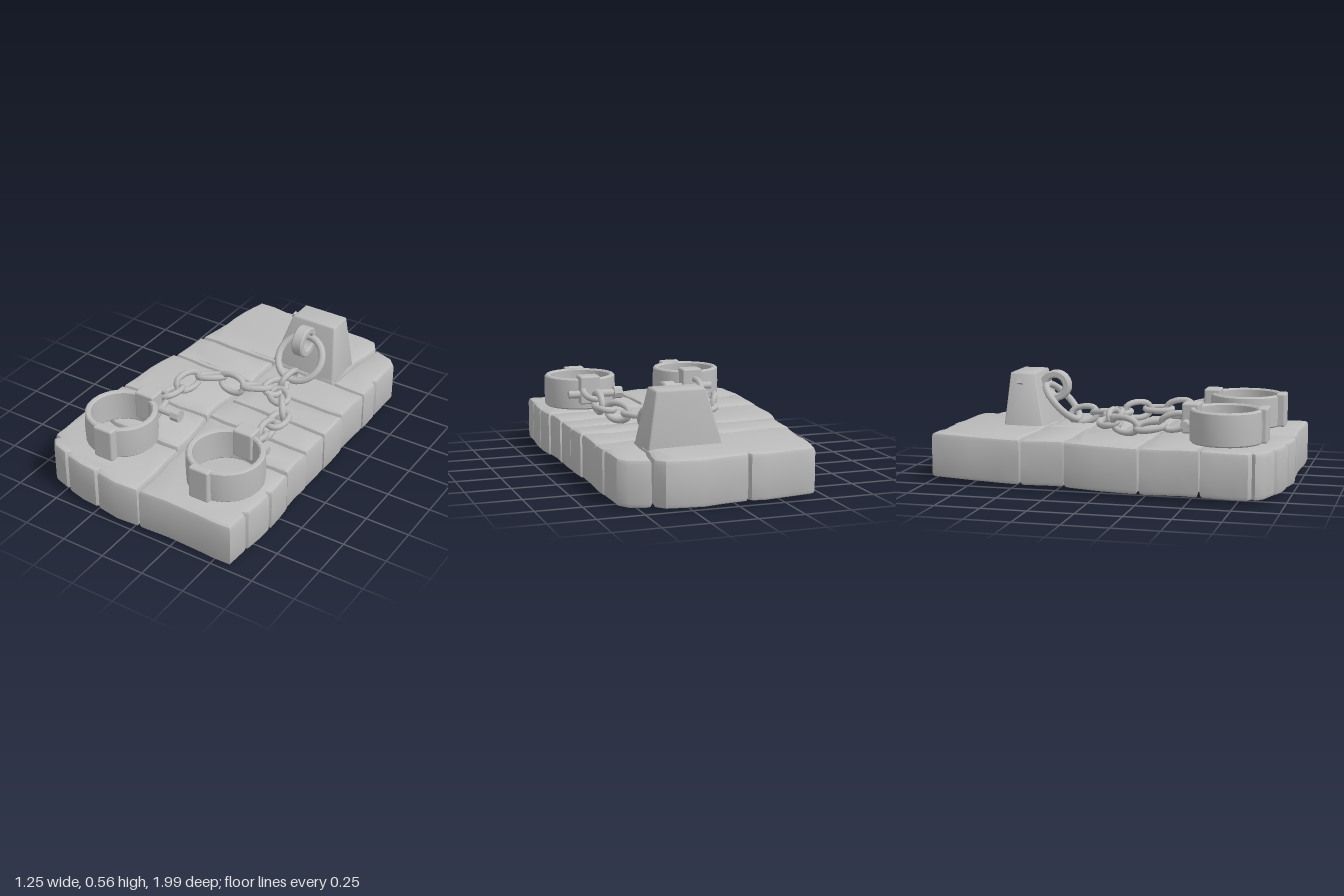
import * as THREE from 'three';
import { toCreasedNormals } from 'three/addons/utils/BufferGeometryUtils.js';
import { RoundedBoxGeometry } from 'three/addons/geometries/RoundedBoxGeometry.js';

const grey = new THREE.MeshStandardMaterial({ color: 0xbcbcbc });
grey.name = 'greyStone';

function add(parent, name, geometry, x = 0, y = 0, z = 0) {
  const mesh = new THREE.Mesh(geometry, grey);
  mesh.name = name;
  mesh.position.set(x, y, z);
  parent.add(mesh);
  return mesh;
}

// Worn paving stone: plan outline as [x, z] corners, edges split and wobbled
function stone(outline) {
  const pts = [];
  outline.forEach(([x, z], i) => {
    const [nx, nz] = outline[(i + 1) % outline.length];
    const n = Math.max(1, Math.round(Math.hypot(nx - x, nz - z) / 0.1));
    for (let k = 0; k < n; k++) {
      const px = x + (nx - x) * k / n, pz = z + (nz - z) * k / n;
      const w = k ? 0.004 : 0;
      pts.push(new THREE.Vector2(px + w * Math.sin(pz * 41 + px * 7), -pz + w * Math.sin(px * 37 + pz * 5)));
    }
  });
  const g = new THREE.ExtrudeGeometry(new THREE.Shape(pts), {
    depth: 0.206, steps: 2, bevelThickness: 0.022, bevelSize: 0.02, bevelOffset: -0.02, bevelSegments: 2,
  });
  g.rotateX(-Math.PI / 2);
  g.translate(0, 0.038, 0);
  const p = g.attributes.position;
  for (let i = 0; i < p.count; i++) {
    const x = p.getX(i), z = p.getZ(i);
    p.setY(i, p.getY(i) - 0.018 * x + 0.003 * Math.sin(x * 17 + z * 11));
  }
  return toCreasedNormals(g, 0.6);
}

function box(x0, x1, z0, z1) {
  return [[x0, z0], [x1, z0], [x1, z1], [x0, z1]];
}

function createBase() {
  const base = new THREE.Group();
  base.name = 'pavedBase';
  const outlines = {
    // back stones
    backStone: [[-0.42, -0.985], [-0.07, -0.99], [-0.06, -0.965], [-0.045, -0.995], [0.3, -0.99], [0.385, -0.975],
      [0.425, -0.91], [0.39, -0.72], [0.385, -0.455], [-0.505, -0.455], [-0.485, -0.58], [-0.455, -0.83]],
    backCornerStone: [[0.435, -0.905], [0.55, -0.87], [0.592, -0.82], [0.592, -0.61], [0.57, -0.595], [0.595, -0.58],
      [0.595, -0.45], [0.395, -0.45], [0.4, -0.72]],
    // left column
    leftStone1: [[-0.515, -0.44], [-0.01, -0.44], [-0.005, -0.2], [-0.525, -0.2]],
    leftStone2: [[-0.54, -0.19], [-0.01, -0.19], [-0.04, 0.1], [-0.03, 0.225], [-0.598, 0.225], [-0.58, 0.0]],
    leftStone3: [[-0.602, 0.237], [-0.03, 0.237], [0.0, 0.45], [0.0, 0.555], [-0.42, 0.55], [-0.47, 0.53], [-0.62, 0.555]],
    leftFrontStone: [[-0.622, 0.565], [-0.47, 0.545], [-0.4, 0.57], [0.01, 0.57], [0.03, 0.8], [0.03, 0.975], [-0.1, 0.99],
      [-0.225, 0.972], [-0.235, 0.945], [-0.25, 0.968], [-0.445, 0.94], [-0.455, 0.91], [-0.475, 0.93], [-0.57, 0.9],
      [-0.61, 0.85], [-0.59, 0.83], [-0.625, 0.815]],
    // right column
    rightStone1: box(0.005, 0.592, -0.44, -0.195),
    rightStone2: box(0.0, 0.6, -0.183, 0.01),
    rightStone3: box(-0.025, 0.598, 0.022, 0.207),
    rightStone4: [[-0.02, 0.219], [0.605, 0.219], [0.608, 0.42], [0.01, 0.425]],
    rightFrontStone: [[0.02, 0.438], [0.615, 0.435], [0.622, 0.6], [0.595, 0.612], [0.62, 0.625], [0.612, 0.81],
      [0.585, 0.822], [0.608, 0.835], [0.602, 0.972], [0.3, 0.968], [0.042, 0.975], [0.04, 0.8]],
  };
  for (const name in outlines) add(base, name, stone(outlines[name]));
  return base;
}

// Tapered block with the staple and hanging ring
function createAnchor() {
  const anchor = new THREE.Group();
  anchor.name = 'anchor';
  const g = new RoundedBoxGeometry(1, 1, 1, 2, 0.035);
  const p = g.attributes.position;
  const mix = THREE.MathUtils.lerp;
  for (let i = 0; i < p.count; i++) {
    const t = p.getY(i) + 0.5, u = p.getX(i) + 0.5, v = p.getZ(i) + 0.5;
    p.setXYZ(i, mix(mix(-0.03, 0.065, t), mix(0.385, 0.335, t), u), mix(0.24, 0.56, t),
      mix(mix(-0.7, -0.685, t), mix(-0.46, -0.54, t), v));
  }
  g.computeVertexNormals();
  add(anchor, 'anchorBlock', toCreasedNormals(g, 0.6));
  add(anchor, 'blockRivet', new THREE.BoxGeometry(0.04, 0.025, 0.03), 0.04, 0.51, -0.62).rotation.z = -0.4;

  // flat strap bent into a loop
  const strap = new THREE.Shape().absarc(0, 0, 0.09, 0, Math.PI * 2);
  strap.holes.push(new THREE.Path().absarc(0, 0, 0.047, 0, Math.PI * 2, true));
  const sg = new THREE.ExtrudeGeometry(strap, {
    depth: 0.054, bevelThickness: 0.008, bevelSize: 0.008, bevelOffset: -0.008, bevelSegments: 1, curveSegments: 12,
  });
  sg.translate(0, 0, -0.027);
  sg.rotateY(Math.PI / 2);
  add(anchor, 'staple', toCreasedNormals(sg, 0.7), 0.19, 0.475, -0.45);
  add(anchor, 'hangingRing', new THREE.TorusGeometry(0.135, 0.021, 8, 28), 0.192, 0.382, -0.41).rotation.x = -0.75;
  return anchor;
}

// Oval chain link lying in its local xz plane
const linkCurve = new THREE.CatmullRomCurve3(
  [[0.045, -0.03], [0.045, 0.03], [0.029, 0.067], [0, 0.079], [-0.029, 0.067], [-0.045, 0.03],
    [-0.045, -0.03], [-0.029, -0.067], [0, -0.079], [0.029, -0.067]].map(([x, z]) => new THREE.Vector3(x, 0, z)), true);
const linkGeometry = new THREE.TubeGeometry(linkCurve, 28, 0.018, 7, true);

function createChain(name, points, count, roll) {
  const chain = new THREE.Group();
  chain.name = name;
  const path = new THREE.CatmullRomCurve3(points.map(a => new THREE.Vector3(...a)));
  for (let i = 0; i < count; i++) {
    const t = (i + 0.5) / count;
    const link = add(chain, 'link', linkGeometry);
    link.position.copy(path.getPointAt(t));
    link.lookAt(link.position.clone().add(path.getTangentAt(t)));
    link.rotateZ(roll + (i % 2) * Math.PI / 2);
  }
  return chain;
}

// Cuff with front hinge, rear bracket and cross pin
function createShackle(name, x, y, radius, hingeX, bracketX, pinSide) {
  const shackle = new THREE.Group();
  shackle.name = name;
  shackle.position.set(x, y, 0.645);
  const o = radius, n = radius - 0.032, h = 0.182, b = 0.008;
  const profile = [[n, b], [n + b, 0], [o - b, 0], [o, b], [o + 0.003, h / 2], [o, h - b], [o - b, h], [n + b, h], [n, h - b], [n, b]];
  const cuff = new THREE.LatheGeometry(profile.map(q => new THREE.Vector2(...q)), 24);
  add(shackle, 'cuff', toCreasedNormals(cuff, 0.6));
  add(shackle, 'hinge', new RoundedBoxGeometry(0.12, 0.19, 0.055, 2, 0.012), hingeX, 0.097, radius - 0.002);
  add(shackle, 'bracket', new RoundedBoxGeometry(0.12, 0.165, 0.095, 2, 0.012), bracketX, 0.12, -0.195);
  const pin = new THREE.CylinderGeometry(0.022, 0.022, 0.31, 10).rotateZ(Math.PI / 2);
  add(shackle, 'pin', toCreasedNormals(pin, 0.8), bracketX + pinSide * 0.03, 0.095, -0.215);
  const head = new THREE.CylinderGeometry(0.036, 0.036, 0.05, 8).rotateZ(Math.PI / 2);
  add(shackle, 'pinHead', toCreasedNormals(head, 0.7), bracketX + pinSide * 0.17, 0.095, -0.215);
  return shackle;
}

export function createModel() {
  const model = new THREE.Group();
  model.name = 'shackledStoneSlab';
  model.add(createBase(), createAnchor());
  model.add(createChain('mainChain', [[0.19, 0.3, -0.35], [0.19, 0.32, -0.22], [0.18, 0.33, -0.08]], 2, 1.25));
  model.add(createChain('rightChain', [[0.17, 0.34, -0.11], [0.0, 0.335, -0.04], [-0.15, 0.335, -0.05], [-0.25, 0.335, 0.06],
    [-0.27, 0.335, 0.2], [-0.262, 0.36, 0.33], [-0.26, 0.385, 0.43]], 6, 0.35));
  model.add(createChain('leftChain', [[0.2, 0.32, -0.13], [0.3, 0.325, -0.03], [0.365, 0.33, 0.09], [0.37, 0.335, 0.22],
    [0.37, 0.36, 0.33], [0.37, 0.385, 0.43]], 5, 0.1));
  model.add(createShackle('rightShackle', -0.3, 0.274, 0.196, 0.035, 0.04, 1));
  model.add(createShackle('leftShackle', 0.367, 0.264, 0.207, -0.02, 0.003, -1));
  return model;
}
